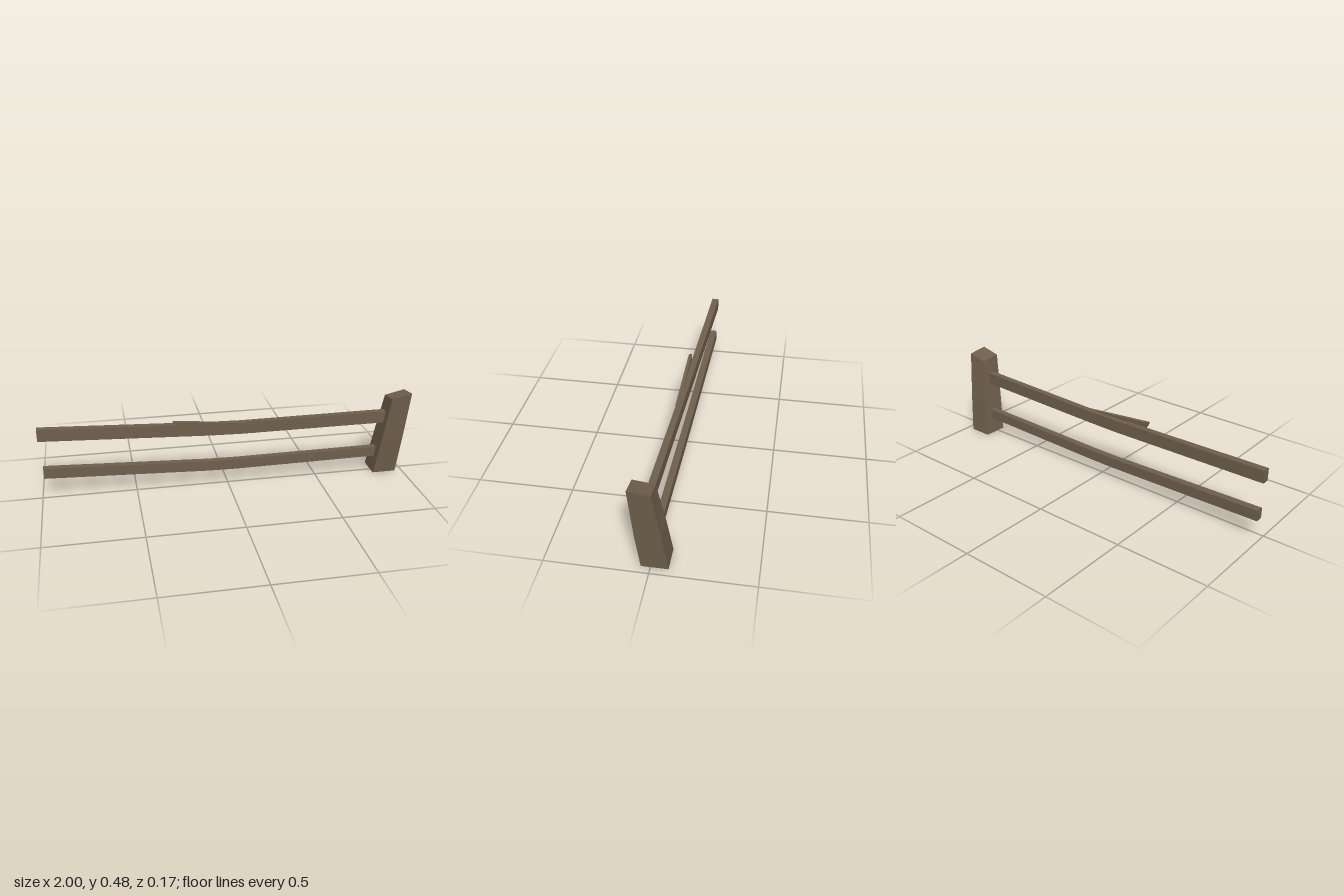
import * as THREE from 'three';

const wood = new THREE.MeshStandardMaterial({ color: 0x6e5f4c, flatShading: true });
wood.name = 'weathered wood';

// Closed loft through four-cornered rings, each counter-clockwise about the path
function loft(name, rings) {
  const pos = [];
  const quad = (a, b, c, d) => [a, b, c, a, c, d].forEach(p => pos.push(...p));
  for (let r = 0; r < rings.length - 1; r++) {
    const a = rings[r], b = rings[r + 1];
    for (let i = 0; i < 4; i++) {
      const j = (i + 1) % 4;
      quad(a[i], a[j], b[j], b[i]);
    }
  }
  const s = rings[0], e = rings[rings.length - 1];
  quad(s[3], s[2], s[1], s[0]);
  quad(e[0], e[1], e[2], e[3]);
  const geo = new THREE.BufferGeometry();
  geo.setAttribute('position', new THREE.Float32BufferAttribute(pos, 3));
  geo.computeVertexNormals();
  const mesh = new THREE.Mesh(geo, wood);
  mesh.name = name;
  return mesh;
}

// Ring across x; the optional lean shifts its top edge along x
const railRing = ([x, y0, y1, z0, z1, lean = 0]) => [
  [x, y0, z0], [x + lean, y1, z0], [x + lean, y1, z1], [x, y0, z1]];

// Ring across y; slopes tilt it along x and z
const postRing = ([y, x0, x1, z0, z1, sx = 0, sz = 0]) => [
  [x0, y - sx - sz, z0], [x0, y - sx, z1], [x1, y, z1], [x1, y - sz, z0]];

export function createModel() {
  const group = new THREE.Group();
  group.name = 'brokenFence';

  // Leaning, tapered post with a crooked top
  group.add(loft('post', [
    [0, 0.83, 0.96, -0.085, 0.045],
    [0.2, 0.858, 0.977, -0.06, 0.066],
    [0.48, 0.89, 1.0, -0.021, 0.086, 0.025, 0.013],
  ].map(postRing)));

  // Sagging rails, ending inside the post
  group.add(loft('upperRail', [
    [-1, 0.318, 0.384, -0.058, -0.02],
    [-0.1, 0.29, 0.357, -0.026, 0.006],
    [0.07, 0.289, 0.355, -0.02, 0.013],
    [0.92, 0.301, 0.367, 0, 0.036],
  ].map(railRing)));
  group.add(loft('lowerRail', [
    [-0.985, 0.105, 0.162, -0.054, -0.015],
    [-0.1, 0.077, 0.133, -0.037, -0.001],
    [0.05, 0.076, 0.132, -0.035, 0.001],
    [0.9, 0.088, 0.143, -0.025, 0.01],
  ].map(railRing)));

  // Short plank patched over the front of the upper rail
  group.add(loft('patchPlank', [
    [-0.268, 0.327, 0.39, 0.002, 0.02, -0.03],
    [0.15, 0.291, 0.347, 0.002, 0.021],
  ].map(railRing)));

  return group;
}
